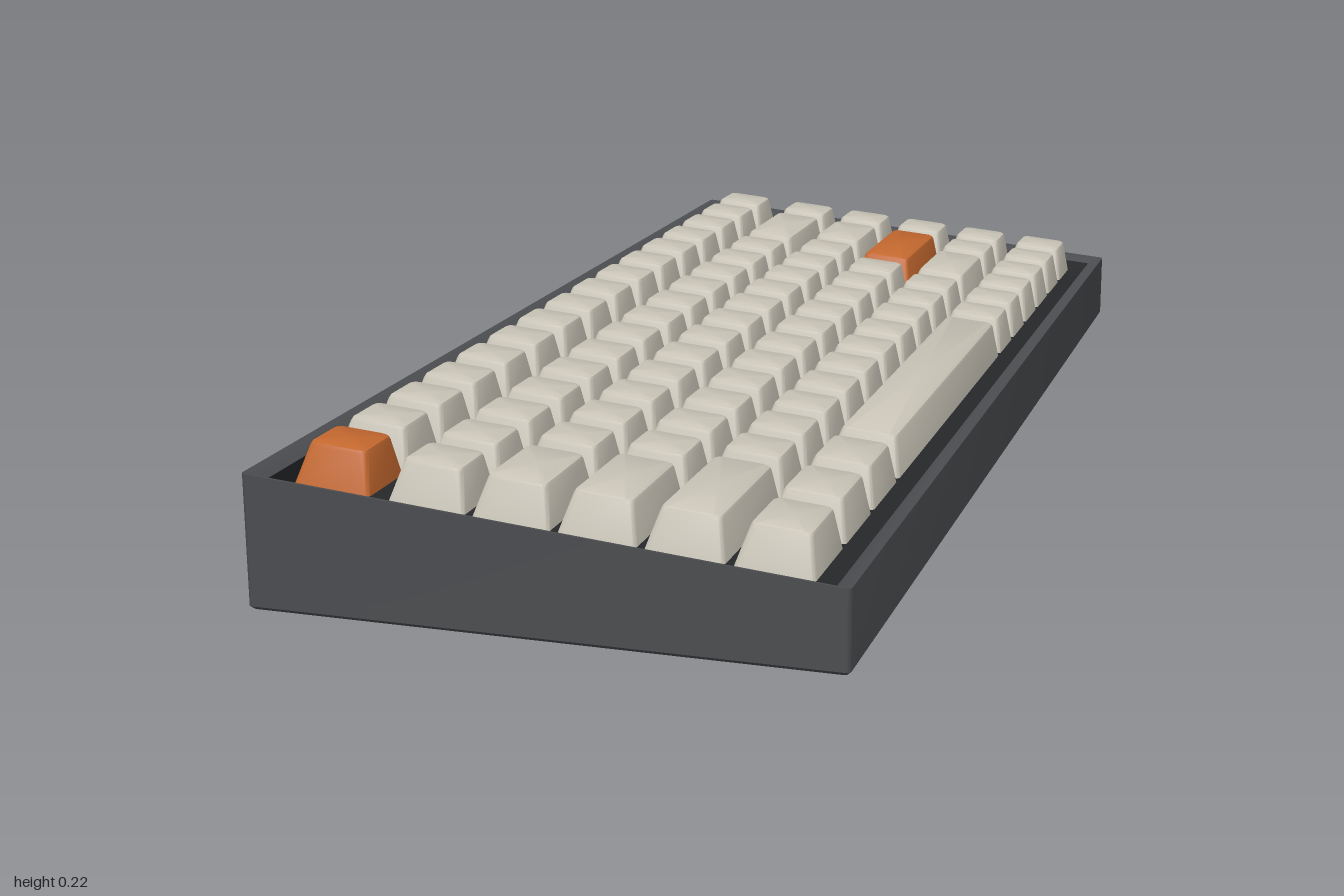
import * as THREE from 'three';
import { toCreasedNormals } from 'three/addons/utils/BufferGeometryUtils.js';

const SLOPE = 0.0902, MID = 0.151, UNIT = 0.119;
const rim = (x) => MID - SLOPE * x;

// Counter-clockwise rounded rectangle, seen from above
function ring(w, d, r) {
  const pts = [], seg = 3;
  for (let c = 0; c < 4; c++) {
    const cx = (c === 0 || c === 3 ? 1 : -1) * (w / 2 - r);
    const cz = (c < 2 ? -1 : 1) * (d / 2 - r);
    for (let i = 0; i <= seg; i++) {
      const a = (c + i / seg) * Math.PI / 2;
      pts.push([cx + r * Math.cos(a), cz - r * Math.sin(a)]);
    }
  }
  return pts;
}

// Joins rounded rectangles; each level is [inset, height function of x, radius]
function loft(w, d, levels, { top = true, bottom = true } = {}) {
  const pos = [], idx = [];
  for (const [inset, height, r] of levels) {
    for (const [x, z] of ring(w - 2 * inset, d - 2 * inset, r)) pos.push(x, height(x), z);
  }
  const n = pos.length / 3 / levels.length;
  for (let k = 0; k < levels.length - 1; k++) {
    for (let j = 0; j < n; j++) {
      const a = k * n + j, b = k * n + (j + 1) % n;
      idx.push(a, b, b + n, a, b + n, a + n);
    }
  }
  const cap = (level, up) => {
    const c = pos.length / 3, s = level * n;
    pos.push(0, levels[level][1](0), 0);
    for (let j = 0; j < n; j++) {
      const a = s + j, b = s + (j + 1) % n;
      idx.push(c, up ? a : b, up ? b : a);
    }
  };
  if (bottom) cap(0, false);
  if (top) cap(levels.length - 1, true);
  const g = new THREE.BufferGeometry();
  g.setAttribute('position', new THREE.Float32BufferAttribute(pos, 3));
  g.setIndex(idx);
  return toCreasedNormals(g, 0.6);
}

export function createModel() {
  const model = new THREE.Group();
  model.name = 'keyboard';
  const mat = (color) => new THREE.MeshStandardMaterial({ color });
  const caseMat = mat(0x4b4d50), plateMat = mat(0x262729);
  const capMat = mat(0xc9c4b7), accentMat = mat(0xc4682f);
  const add = (parent, name, geometry, material) => {
    const m = new THREE.Mesh(geometry, material);
    m.name = name;
    parent.add(m);
    return m;
  };

  // Wedge case with a chamfered rim
  add(model, 'case', loft(0.82, 2, [
    [0.005, () => 0, 0.004],
    [0, () => 0.005, 0.006],
    [0, rim, 0.006],
    [0.004, rim, 0.005],
    [0.025, (x) => rim(x) - 0.01, 0.005],
  ], { top: false }), caseMat);

  // Sunken well and plate under the keys
  add(model, 'plate', loft(0.82, 2, [
    [0.025, (x) => rim(x) - 0.01, 0.005],
    [0.028, (x) => rim(x) - 0.04, 0.005],
  ], { bottom: false }), plateMat);

  // Keys stand on a deck tilted with the rim
  const deck = new THREE.Group();
  deck.name = 'keys';
  deck.position.y = MID;
  deck.rotation.z = -Math.atan(SLOPE);
  model.add(deck);

  const capCache = {};
  const capGeometry = (units) => capCache[units] ??= loft(0.108, units * UNIT - 0.011, [
    [0, () => -0.021, 0.006],
    [0.0125, () => 0.031, 0.009],
    [0.0145, () => 0.0355, 0.009],
    [0.018, () => 0.0375, 0.008],
  ]);
  const stemGeometry = new THREE.BoxGeometry(0.05, 0.03, 0.05);

  const ones = (n) => Array(n).fill(1);
  // Row centre, key widths in units from the +z end, index of the accent key
  const rows = [
    [-0.308, ones(16), 0],
    [-0.173, [...ones(13), 2, 1]],
    [-0.055, [1.5, ...ones(12), 1.5, 1]],
    [0.063, [1.75, ...ones(11), 2.25, 1], 12],
    [0.181, [2.25, ...ones(10), 1.75, 1, 1]],
    [0.3, [1.25, 1.25, 1.25, 6.25, ...ones(6)]],
  ];
  for (const [x, widths, accent] of rows) {
    let z = 8 * UNIT;
    widths.forEach((w, i) => {
      const key = add(deck, 'keycap', capGeometry(w), i === accent ? accentMat : capMat);
      key.position.set(x, 0, z - w * UNIT / 2);
      add(key, 'switch', stemGeometry, plateMat).position.y = -0.03;
      z -= w * UNIT;
    });
  }
  return model;
}
